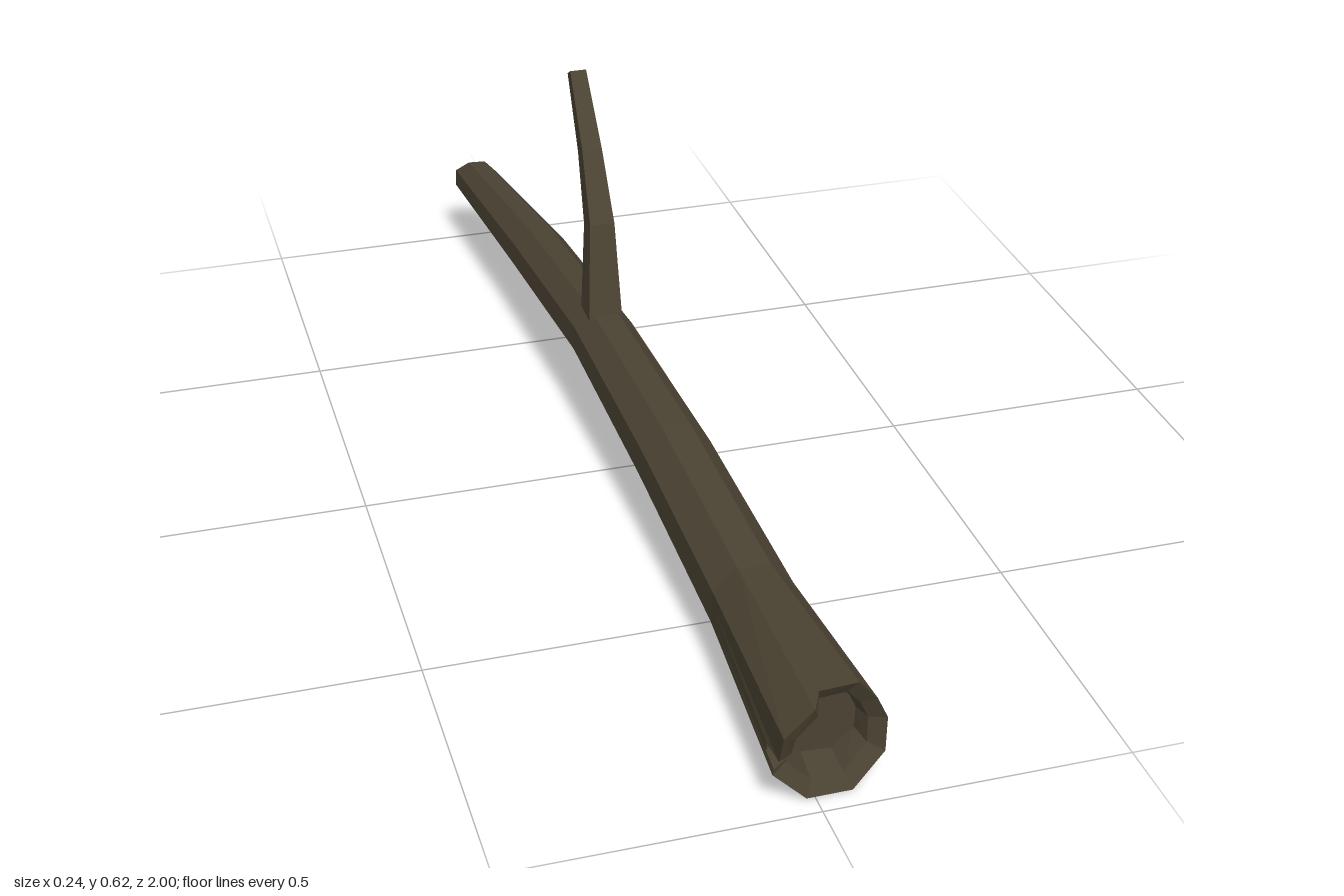
import * as THREE from 'three';

// Flat-faced skin over a list of rings, each ring counter-clockwise when seen from its first end.
function loft(rings) {
  const pos = [];
  const tri = (a, b, c) => {
    const n = b.clone().sub(a).cross(c.clone().sub(a));
    if (n.lengthSq() > 1e-14) pos.push(...a, ...b, ...c);
  };
  for (let i = 0; i < rings.length - 1; i++) {
    const p = rings[i], q = rings[i + 1];
    for (let k = 0; k < p.length; k++) {
      const m = (k + 1) % p.length;
      tri(p[k], q[k], p[m]);
      tri(p[m], q[k], q[m]);
    }
  }
  const g = new THREE.BufferGeometry();
  g.setAttribute('position', new THREE.Float32BufferAttribute(pos, 3));
  g.computeVertexNormals();
  return g;
}

// Shrinks a ring towards (cx, cy) and sets its depth by a rule.
const inset = (ring, cx, cy, s, depth) =>
  ring.map(v => new THREE.Vector3(cx + (v.x - cx) * s, cy + (v.y - cy) * s, depth(v.z)));

export function createModel() {
  const group = new THREE.Group();
  const bark = new THREE.MeshStandardMaterial({ color: 0x4a4232 });
  bark.name = 'darkBark';

  // Broken front rim: angle on the log, then x, y, z, with a splinter and a notch on one side
  const rim = [
    [20, 0.118, 0.108, 0.945], [42, 0.1, 0.147, 0.945], [65, 0.07, 0.182, 0.945],
    [100, 0.005, 0.183, 0.95], [110, -0.015, 0.183, 0.99], [155, -0.065, 0.147, 1],
    [172, -0.066, 0.095, 0.985], [178, -0.066, 0.088, 0.93], [186, -0.067, 0.075, 0.93],
    [190, -0.068, 0.07, 0.97], [200, -0.07, 0.06, 0.97], [245, -0.015, 0.004, 0.97],
    [290, 0.06, 0, 0.965], [335, 0.115, 0.05, 0.95],
  ];
  const front = rim.map(([, x, y, z]) => new THREE.Vector3(x, y, z));

  // Octagonal log section; the extra rim points lie on its flat sides
  const section = (z, cx, cy, r, jag = 0) => rim.map(([deg]) => {
    const off = (((deg - 20) % 45) - 22.5) * Math.PI / 180;
    const d = r * Math.cos(Math.PI / 8) / Math.cos(off);
    const a = deg * Math.PI / 180;
    const tip = Math.cos(a) < -0.8 ? jag : 0;
    return new THREE.Vector3(cx + d * Math.cos(a), cy + d * Math.sin(a), z - tip);
  });
  const back = section(-0.982, -0.076, 0.139, 0.044, 0.018);

  // Log: hollow front, body, shallow hollow back
  const log = new THREE.Mesh(loft([
    inset(front, 0.024, 0.09, 0, () => 0.9),
    inset(front, 0.024, 0.09, 0.64, () => 0.9),
    inset(front, 0.024, 0.09, 0.73, z => z - 0.015),
    front,
    section(0.6, 0.02, 0.1, 0.073),
    section(0.2, 0.01, 0.135, 0.068),
    section(-0.2, -0.01, 0.165, 0.059),
    section(-0.6, -0.035, 0.15, 0.056),
    back,
    inset(back, -0.076, 0.139, 0.75, () => -0.975),
    inset(back, -0.076, 0.139, 0, () => -0.965),
  ]), bark);
  log.name = 'log';
  group.add(log);

  // Twig: four-sided sections as left x, right x, front y, front z, back y, back z
  const twigRings = [
    [-0.04, 0.022, 0.18, -0.17, 0.17, -0.235],
    [-0.04, 0.022, 0.222, -0.18, 0.21, -0.238],
    [-0.024, 0.022, 0.38, -0.228, 0.365, -0.272],
    [-0.019, 0.018, 0.5, -0.298, 0.485, -0.33],
    [-0.015, 0.015, 0.617, -0.395, 0.605, -0.415],
  ].map(([l, r, fy, fz, by, bz]) => [
    new THREE.Vector3(l, fy, fz), new THREE.Vector3(l, by, bz),
    new THREE.Vector3(r, by, bz), new THREE.Vector3(r, fy, fz),
  ]);
  const top = twigRings[twigRings.length - 1];
  const mid = top[0].clone().add(top[2]).multiplyScalar(0.5);
  twigRings.push(top.map(() => mid));
  const twig = new THREE.Mesh(loft(twigRings), bark);
  twig.name = 'twig';
  group.add(twig);

  return group;
}
